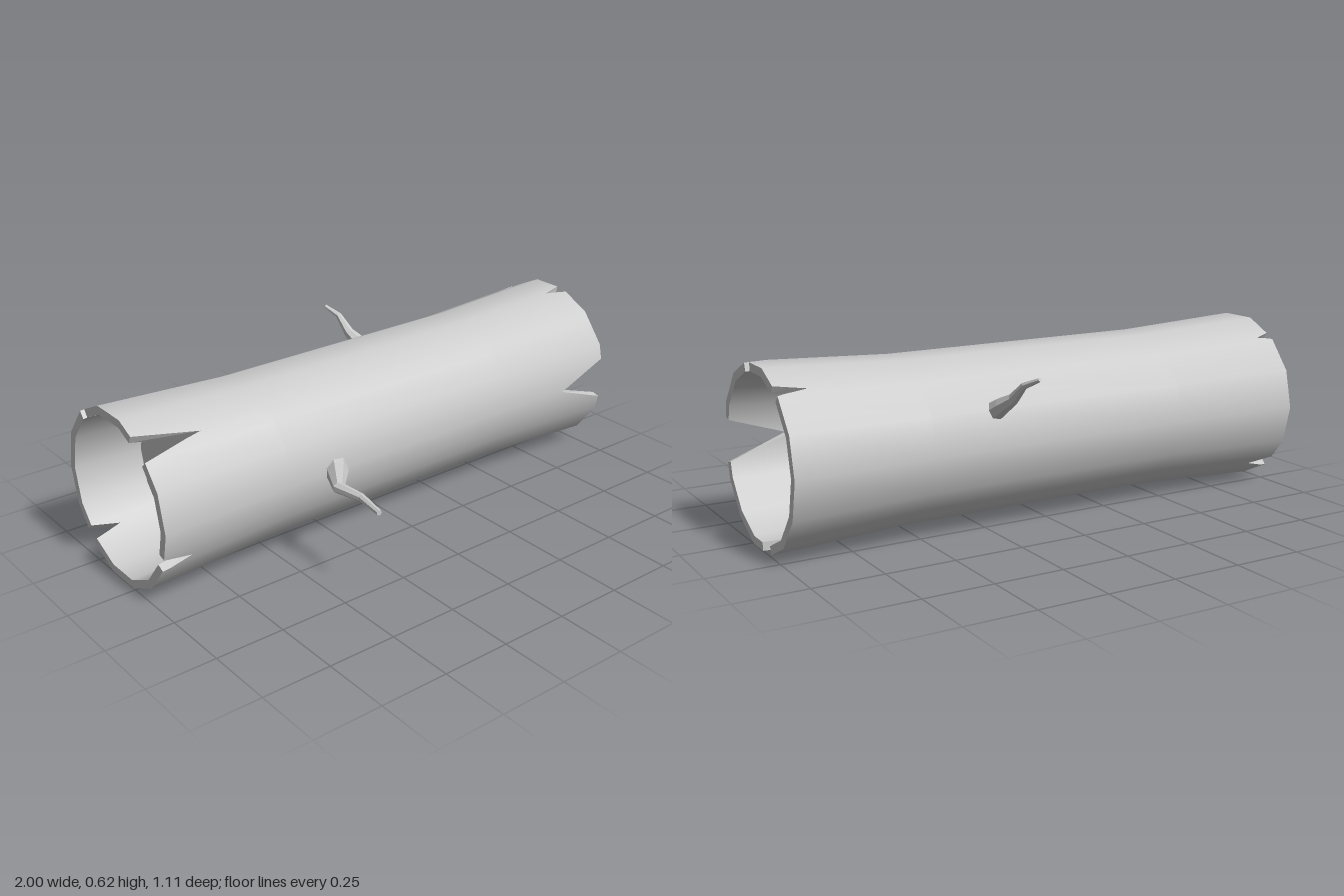
import * as THREE from 'three';

const CY = 0.3125, CZ = -0.083, SIDES = 14, STEP = 360 / SIDES;
const R_END = 0.319, R_MID = 0.295, R_RIM = 0.289, R_CAP = 0.274, CAP_X = 0.75;

// V-shaped splits at each end: [angle in degrees (0 = front, 90 = top), half width, depth]
const LEFT_SPLITS = [[0, 15, 0.22], [78, 4.5, 0.09], [125, 4.5, 0.11], [261, 7, 0.14]];
const RIGHT_SPLITS = [[54, 9.5, 0.23], [337.5, 4.5, 0.11], [126, 3.5, 0.06], [228, 5, 0.1]];

// Columns: the polygon corners plus the edges and tip of every split
const angles = new Set();
for (let i = 0; i < SIDES; i++) angles.add(i * STEP);
for (const [a, w] of [...LEFT_SPLITS, ...RIGHT_SPLITS])
  for (const d of [-w, 0, w]) angles.add((a + d + 360) % 360);
const COLUMNS = [...angles].sort((a, b) => a - b);
COLUMNS.push(360);

const material = () => new THREE.MeshStandardMaterial({ color: 0xcccccc });

// Direction in the (z, y) plane to a point on the unit polygon
function polygonPoint(deg) {
  const k = Math.floor(deg / STEP + 1e-9), t = deg / STEP - k;
  const a = THREE.MathUtils.degToRad(k * STEP), b = THREE.MathUtils.degToRad((k + 1) * STEP);
  return {
    z: Math.cos(a) * (1 - t) + Math.cos(b) * t,
    y: Math.sin(a) * (1 - t) + Math.sin(b) * t,
  };
}

// How far the rim is cut back at an angle
function cut(splits, deg) {
  let depth = 0;
  for (const [a, w, d] of splits) {
    const off = Math.abs(((deg - a + 540) % 360) - 180);
    depth = Math.max(depth, d * (1 - off / w));
  }
  return depth;
}

// Surface through rows of rings; each row maps an angle to [x, radius].
// normalSign: 1 = smooth outward, -1 = smooth inward, 0 = flat.
function ringSurface(name, rows, normalSign) {
  const pos = [], nor = [], idx = [], n = COLUMNS.length;
  for (const row of rows) for (const deg of COLUMNS) {
    const p = polygonPoint(deg), [x, r] = row(deg), len = Math.hypot(p.y, p.z);
    pos.push(x, CY + p.y * r, CZ + p.z * r);
    nor.push(0, normalSign * p.y / len, normalSign * p.z / len);
  }
  for (let r = 0; r < rows.length - 1; r++) for (let c = 0; c < n - 1; c++) {
    const a = r * n + c, b = a + n;
    idx.push(a, b, a + 1, a + 1, b, b + 1);
  }
  let geo = new THREE.BufferGeometry();
  geo.setAttribute('position', new THREE.Float32BufferAttribute(pos, 3));
  geo.setAttribute('normal', new THREE.Float32BufferAttribute(nor, 3));
  geo.setIndex(idx);
  if (!normalSign) {
    geo = geo.toNonIndexed();
    geo.computeVertexNormals();
  }
  const mesh = new THREE.Mesh(geo, material());
  mesh.name = name;
  return mesh;
}

// Bent, tapering twig: points are [x, y, z, radius]
function branch(name, points, sides = 7) {
  const pos = [], idx = [];
  const centers = points.map(p => new THREE.Vector3(p[0], p[1], p[2]));
  const axis = new THREE.Vector3(0, 0, 1), last = points.length - 1;
  points.forEach((p, i) => {
    const dir = centers[Math.min(i + 1, last)].clone().sub(centers[Math.max(i - 1, 0)]).normalize();
    // turn from the nearer of +z / -z so the rings never twist
    const from = axis.clone().multiplyScalar(Math.sign(dir.z));
    const q = new THREE.Quaternion().setFromUnitVectors(from, dir);
    for (let s = 0; s < sides; s++) {
      const a = s / sides * Math.PI * 2 * from.z;
      const v = new THREE.Vector3(Math.cos(a) * p[3], Math.sin(a) * p[3], 0).applyQuaternion(q).add(centers[i]);
      pos.push(v.x, v.y, v.z);
    }
  });
  for (let i = 0; i < last; i++) for (let s = 0; s < sides; s++) {
    const a = i * sides + s, b = i * sides + (s + 1) % sides;
    idx.push(a, b, a + sides, b, b + sides, a + sides);
  }
  for (let s = 1; s < sides - 1; s++) idx.push(last * sides, last * sides + s, last * sides + s + 1);
  const indexed = new THREE.BufferGeometry();
  indexed.setAttribute('position', new THREE.Float32BufferAttribute(pos, 3));
  indexed.setIndex(idx);
  const geo = indexed.toNonIndexed();
  geo.computeVertexNormals();
  const mat = material();
  mat.flatShading = true;
  const mesh = new THREE.Mesh(geo, mat);
  mesh.name = name;
  return mesh;
}

export function createModel() {
  const log = new THREE.Group();
  log.name = 'hollowLog';

  // Radii flare from the middle to the ends, so cut edges follow the taper
  const outerR = x => THREE.MathUtils.mapLinear(Math.max(Math.abs(x), 0.5), 0.5, 1, R_MID, R_END);
  const innerR = x => THREE.MathUtils.mapLinear(Math.abs(x), CAP_X, 1, R_CAP, R_RIM);
  const leftX = deg => 1 - cut(LEFT_SPLITS, deg);
  const rightX = deg => -1 + cut(RIGHT_SPLITS, deg);
  const outer = xAt => deg => [xAt(deg), outerR(xAt(deg))];
  const inner = xAt => deg => [xAt(deg), innerR(xAt(deg))];
  const at = (x, r) => () => [x, r];

  // Bark
  log.add(ringSurface('bark', [outer(rightX), at(-0.5, R_MID), at(0.5, R_MID), outer(leftX)], 1));

  // Hollow ends: split rim, inner wall and recessed cap
  log.add(ringSurface('leftRim', [outer(leftX), inner(leftX)], 0));
  log.add(ringSurface('leftInnerWall', [inner(leftX), at(CAP_X, R_CAP)], -1));
  log.add(ringSurface('leftCap', [at(CAP_X, R_CAP), at(CAP_X, 0)], 0));
  log.add(ringSurface('rightRim', [inner(rightX), outer(rightX)], 0));
  log.add(ringSurface('rightInnerWall', [at(-CAP_X, R_CAP), inner(rightX)], -1));
  log.add(ringSurface('rightCap', [at(-CAP_X, 0), at(-CAP_X, R_CAP)], 0));

  // Broken twigs
  log.add(branch('frontBranch', [
    [-0.29, 0.315, 0.175, 0.045], [-0.32, 0.316, 0.225, 0.039], [-0.4, 0.33, 0.34, 0.021],
    [-0.383, 0.33, 0.44, 0.014], [-0.4, 0.328, 0.553, 0.01],
  ]));
  log.add(branch('backBranch', [
    [0.256, 0.435, -0.335, 0.035], [0.25, 0.46, -0.375, 0.03], [0.24, 0.492, -0.43, 0.02],
    [0.236, 0.546, -0.49, 0.012], [0.215, 0.573, -0.55, 0.007],
  ]));
  return log;
}
